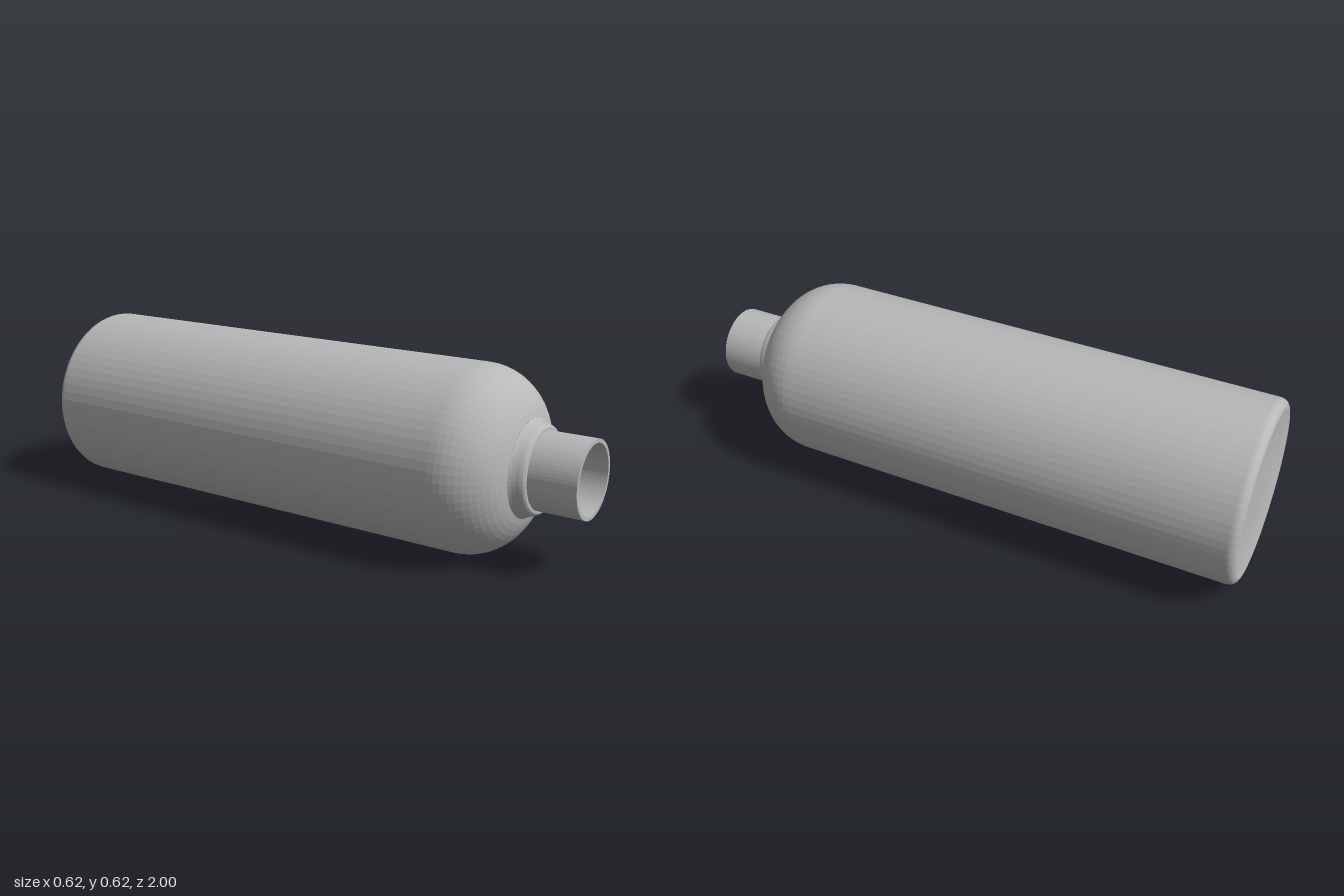
import * as THREE from 'three';

const R = 0.31;       // body radius
const WALL = 0.0125;  // wall thickness
const SEGMENTS = 64;

// Points along an elliptical arc in the (radius, z) half-plane
function arc(cr, cz, rr, rz, from, to, steps) {
  return Array.from({ length: steps + 1 }, (_, i) => {
    const a = from + (to - from) * i / steps;
    return [cr + rr * Math.cos(a), cz + rz * Math.sin(a)];
  });
}

export function createModel() {
  const grey = new THREE.MeshStandardMaterial({ color: 0xb8b8b8, flatShading: true });
  grey.name = 'grey';

  const model = new THREE.Group();
  model.name = 'bottle';

  // Revolve a profile of [radius, z] points about the bottle's lying axis
  function turned(name, profile) {
    const points = profile.map(([r, z]) => new THREE.Vector2(r, z));
    const geometry = new THREE.LatheGeometry(points, SEGMENTS);
    geometry.rotateX(Math.PI / 2);
    geometry.translate(0, R, 0);
    const mesh = new THREE.Mesh(geometry, grey);
    mesh.name = name;
    model.add(mesh);
  }

  // Shallow dished base with a rounded rim
  turned('base', [
    [0, -0.985], [0.13, -0.985], [0.2, -0.989], [0.265, -0.997],
    ...arc(R - 0.03, -0.97, 0.03, 0.03, -Math.PI / 2, 0, 6),
  ]);

  // Straight cylindrical body
  turned('body', [[R, -0.97], [R, 0.6]]);

  // Domed shoulder
  const shoulderEnd = Math.acos(0.05 / 0.2);
  turned('shoulder', arc(0.11, 0.6, 0.2, 0.2, 0, shoulderEnd, 12));

  // Collar flaring into the shoulder
  turned('collar', [
    [0.16, 0.794], [0.154, 0.803], [0.149, 0.815], [0.146, 0.826],
    [0.142, 0.835], [0.136, 0.84], [0.126, 0.841],
  ]);

  // Neck with its lip and bore
  const bore = 0.126 - WALL;
  turned('neck', [[0.126, 0.841], [0.126, 1], [bore, 1], [bore, 0.835]]);

  // Hollow inside, from the bore down to the floor
  turned('interior', [
    [bore, 0.835], [0.135, 0.815], [0.148, 0.785],
    ...arc(0.11, 0.6, 0.2 - WALL, 0.2 - WALL, shoulderEnd, 0, 10),
    ...arc(R - 0.03, -0.95, 0.03 - WALL, 0.02, 0, -Math.PI / 2, 4),
    [0, -0.97],
  ]);

  return model;
}
